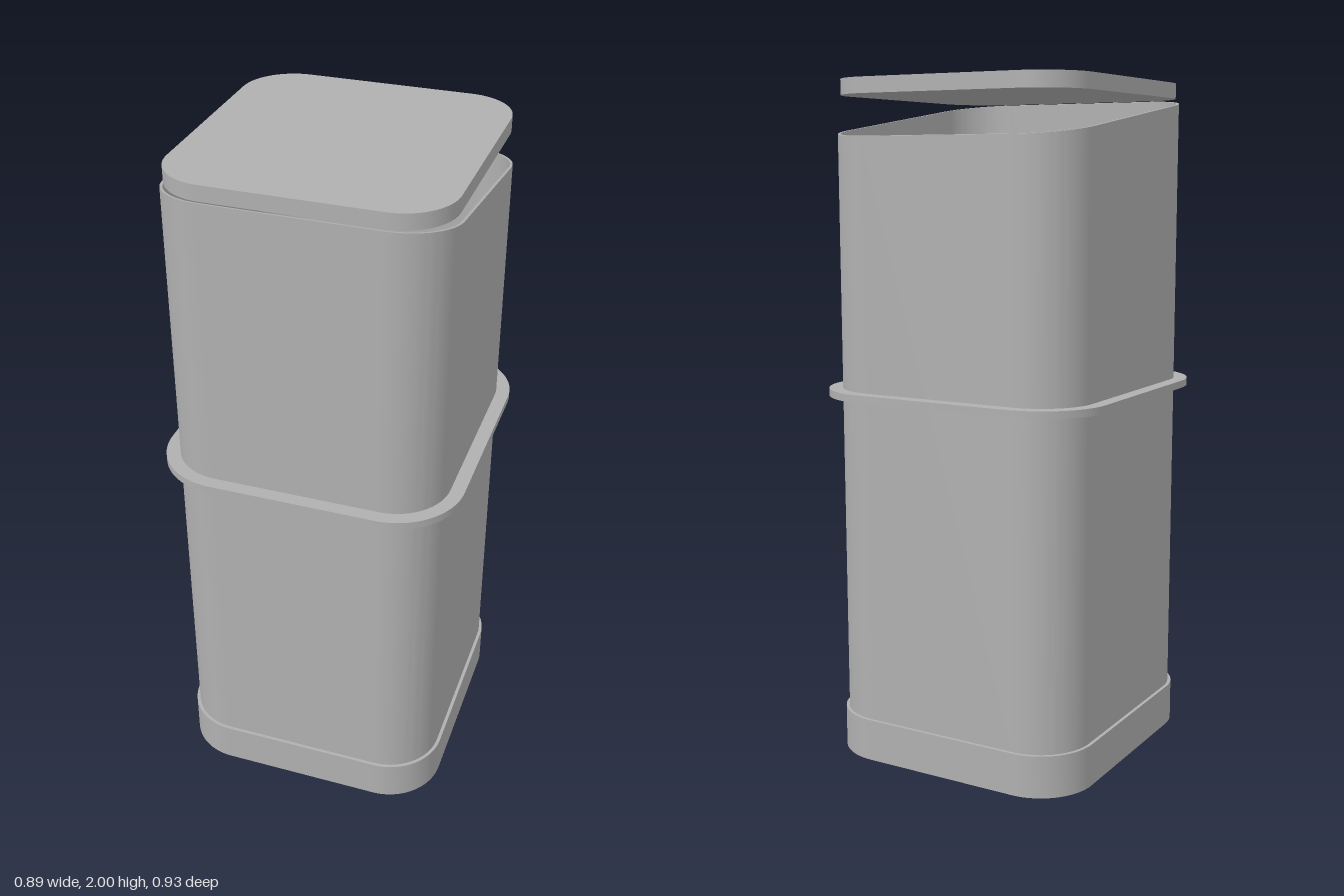
import * as THREE from 'three';
import { toCreasedNormals } from 'three/addons/utils/BufferGeometryUtils.js';

const CX = 0.243, CZ = 0.263; // centres shared by all the rounded corners

// Rounded rectangle made of four arcs of radius r around the shared centres
function outline(target, r) {
  target.absarc(CX, CZ, r, 0, Math.PI / 2);
  target.absarc(-CX, CZ, r, Math.PI / 2, Math.PI);
  target.absarc(-CX, -CZ, r, Math.PI, Math.PI * 1.5);
  target.absarc(CX, -CZ, r, Math.PI * 1.5, Math.PI * 2);
  target.closePath();
  return target;
}

// Upright prism from y0 to y1, hollow when an inner radius is given
function prism(r, y0, y1, inner) {
  const shape = outline(new THREE.Shape(), r);
  if (inner) shape.holes.push(outline(new THREE.Path(), inner));
  const geo = new THREE.ExtrudeGeometry(shape, { depth: y1 - y0, bevelEnabled: false, curveSegments: 12 });
  geo.rotateX(-Math.PI / 2);
  geo.translate(0, y0, 0);
  return geo;
}

export function createModel() {
  const group = new THREE.Group();
  const grey = new THREE.MeshStandardMaterial({ color: 0xb0b0b0 });
  grey.name = 'grey';

  const add = (name, geo) => {
    const mesh = new THREE.Mesh(toCreasedNormals(geo, 0.6), grey);
    mesh.name = name;
    group.add(mesh);
  };

  // Solid plinth
  add('base', prism(0.17, 0, 0.125));

  // Open thin-walled body, its rim sloping down towards the back
  const body = prism(0.16, 0.12, 1.9, 0.152);
  const pos = body.attributes.position;
  for (let i = 0; i < pos.count; i++) {
    if (pos.getY(i) > 1) pos.setY(i, 1.896 + pos.getZ(i) * 0.138);
  }
  add('body', body);

  // Flat band around the middle
  add('band', prism(0.201, 1.09, 1.112, 0.16));

  // Level lid resting on the front rim
  add('lid', prism(0.15, 1.955, 2));

  return group;
}
